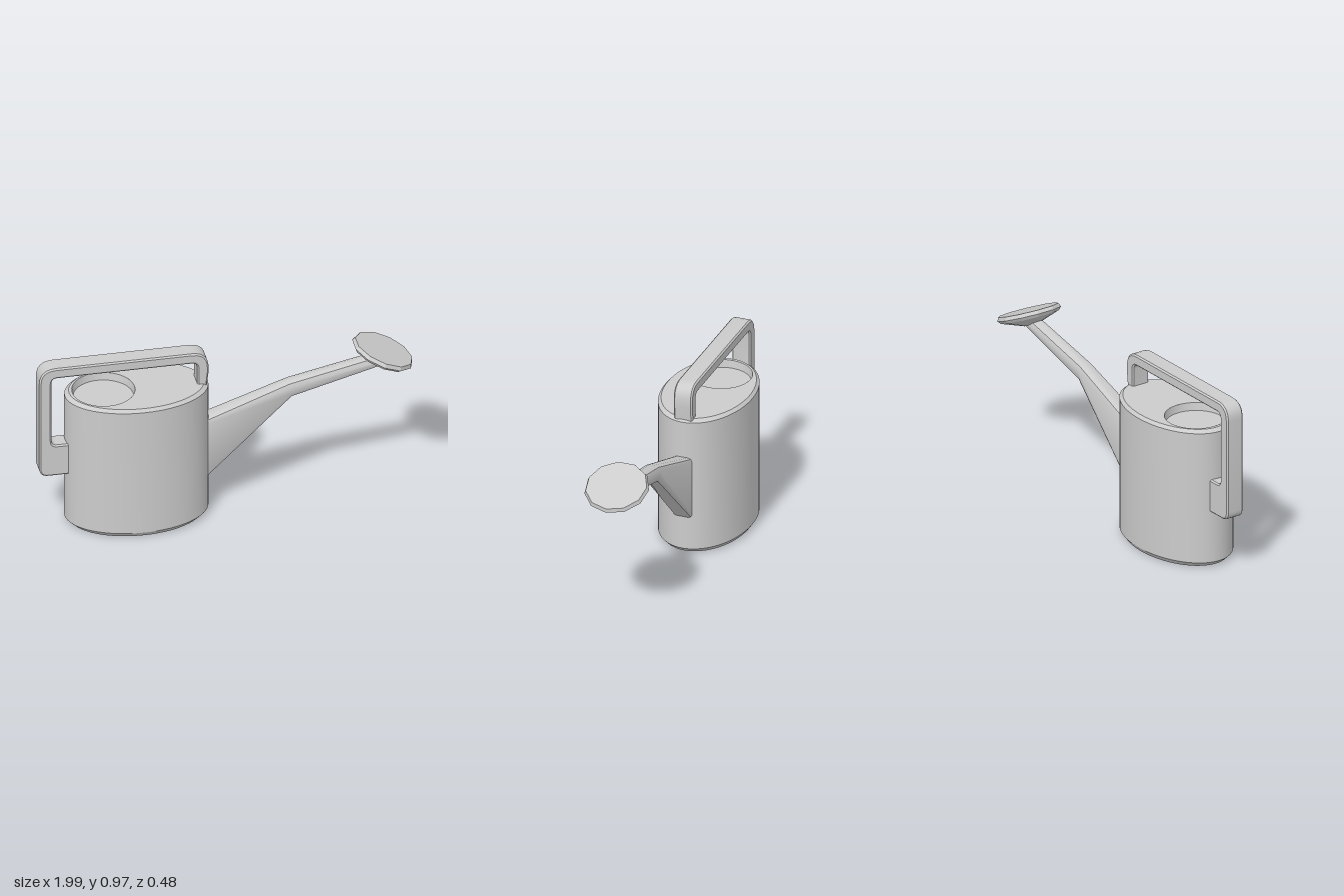
import * as THREE from 'three';
import { toCreasedNormals } from 'three/addons/utils/BufferGeometryUtils.js';

const BODY_X = -0.475, RX = 0.38, RZ = 0.242, TOP = 0.782;
const HOLE_X = -0.65, HOLE_R = 0.165;
const grey = new THREE.MeshStandardMaterial({ color: 0xcccccc });
const greyDouble = new THREE.MeshStandardMaterial({ color: 0xcccccc, side: THREE.DoubleSide });
const greyFlat = new THREE.MeshStandardMaterial({ color: 0xcccccc, flatShading: true });

function add(group, name, geometry, material = grey) {
  const mesh = new THREE.Mesh(geometry, material);
  mesh.name = name;
  group.add(mesh);
  return mesh;
}

function lathe(points, segments, phiStart = 0) {
  return new THREE.LatheGeometry(points.map(([r, y]) => new THREE.Vector2(r, y)), segments, phiStart);
}

// Closed outline from [x, y, cornerRadius] points
function roundedShape(points) {
  const shape = new THREE.Shape();
  const n = points.length;
  points.forEach(([x, y, r = 0], i) => {
    const corner = new THREE.Vector2(x, y);
    const toward = (p) => new THREE.Vector2(p[0], p[1]).sub(corner).setLength(r).add(corner);
    const a = r ? toward(points[(i + n - 1) % n]) : corner;
    const b = r ? toward(points[(i + 1) % n]) : corner;
    if (i === 0) shape.moveTo(a.x, a.y);
    else shape.lineTo(a.x, a.y);
    if (r) shape.quadraticCurveTo(x, y, b.x, b.y);
  });
  shape.closePath();
  return shape;
}

// Skin over rounded-rectangle sections: [topX, topY, bottomX, bottomY, halfWidth, corner]
function spoutGeometry(sections) {
  const positions = [], index = [], steps = 3, count = 4 * steps;
  for (const [tx, ty, bx, by, w, c] of sections) {
    const h = Math.hypot(tx - bx, ty - by) / 2;
    for (let q = 0; q < 4; q++) {
      const sz = q === 0 || q === 3 ? 1 : -1, sv = q < 2 ? 1 : -1;
      for (let k = 0; k < steps; k++) {
        const a = (q + k / (steps - 1)) * Math.PI / 2;
        const z = sz * (w - c) + c * Math.cos(a);
        const v = (sv * (h - c) + c * Math.sin(a)) / h;
        positions.push((tx + bx) / 2 + v * (tx - bx) / 2, (ty + by) / 2 + v * (ty - by) / 2, z);
      }
    }
  }
  for (let s = 0; s < sections.length - 1; s++) {
    for (let i = 0; i < count; i++) {
      const a = s * count + i, b = s * count + (i + 1) % count;
      index.push(a, a + count, b, b, a + count, b + count);
    }
  }
  const geometry = new THREE.BufferGeometry();
  geometry.setAttribute('position', new THREE.Float32BufferAttribute(positions, 3));
  geometry.setIndex(index);
  return toCreasedNormals(geometry, 0.6);
}

export function createModel() {
  const model = new THREE.Group();
  model.name = 'wateringCan';

  // Oval tank with bevelled bottom and top edges
  const wall = lathe([[0, 0], [0.92, 0], [1, 0.028], [1, 0.765], [0.94, TOP]], 64);
  wall.scale(RX, 1, RZ);
  add(model, 'tankWall', toCreasedNormals(wall, 0.4)).position.x = BODY_X;

  // Lid with a round filling hole
  const lid = new THREE.Shape();
  lid.absellipse(BODY_X, 0, RX * 0.94, RZ * 0.94, 0, Math.PI * 2);
  const hole = new THREE.Path();
  hole.absarc(HOLE_X, 0, HOLE_R, 0, Math.PI * 2, true);
  lid.holes.push(hole);
  const lidGeometry = new THREE.ShapeGeometry(lid, 32);
  lidGeometry.rotateX(-Math.PI / 2);
  add(model, 'lid', lidGeometry, greyDouble).position.y = TOP;

  // Shallow recess of the filling opening
  const recess = lathe([[0, 0], [HOLE_R - 0.007, 0], [HOLE_R, 0.042]], 48);
  add(model, 'fillingRecess', toCreasedNormals(recess, 0.5), greyDouble)
    .position.set(HOLE_X, TOP - 0.042, 0);

  // Carrying handle, running from the lid over to the back of the tank
  const outline = roundedShape([
    [-0.8, 0.315], [-0.84, 0.315], [-1, 0.315, 0.05], [-1, 0.97, 0.09], [-0.1, 0.97, 0.09],
    [-0.1, 0.85], [-0.115, 0.72], [-0.16, 0.72], [-0.16, 0.91, 0.03],
    [-0.935, 0.91, 0.03], [-0.935, 0.5, 0.03], [-0.8, 0.5],
  ]);
  const handle = new THREE.ExtrudeGeometry(outline, {
    depth: 0.088, bevelSize: 0.008, bevelThickness: 0.008, bevelOffset: -0.008,
    bevelSegments: 1, curveSegments: 6,
  });
  handle.translate(0, 0, -0.044);
  add(model, 'handle', toCreasedNormals(handle, 0.5));

  // Spout: tall narrow root tapering into a bent pipe
  add(model, 'spout', spoutGeometry([
    [-0.14, 0.545, -0.14, 0.172, 0.053, 0.022],
    [0.33, 0.72, 0.345, 0.628, 0.044, 0.03],
    [0.8, 0.823, 0.815, 0.754, 0.04, 0.03],
  ]));

  // Sprinkler head, tilted forward
  const rose = lathe([[0, -0.085], [0.04, -0.078], [0.157, -0.036], [0.172, -0.02], [0.163, 0], [0, 0]],
    11, Math.PI / 2);
  const head = add(model, 'sprinklerHead', rose, greyFlat);
  head.position.set(0.842, 0.842, 0);
  head.rotation.z = -0.411;

  return model;
}
